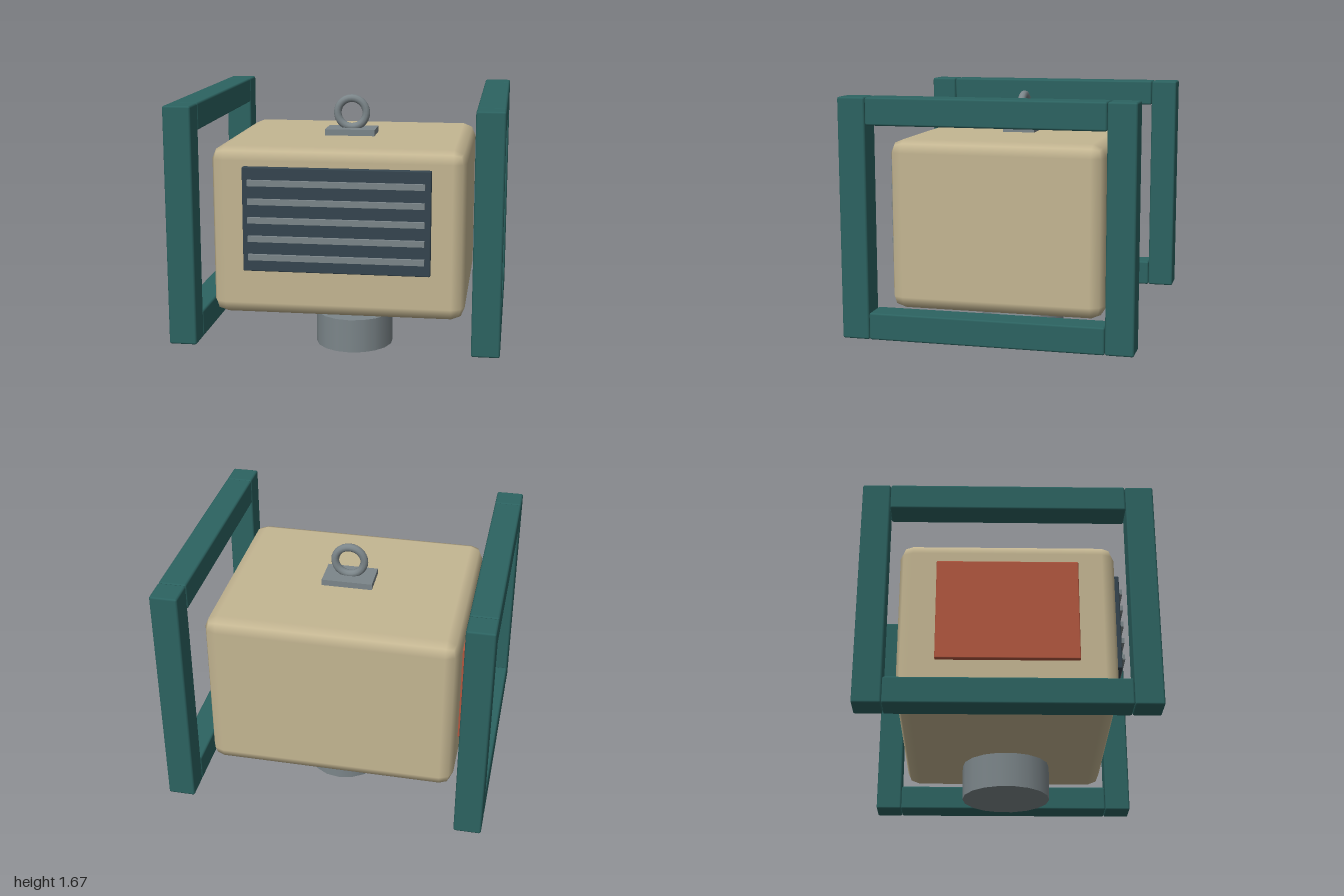
import * as THREE from 'three';
import { RoundedBoxGeometry } from 'three/addons/geometries/RoundedBoxGeometry.js';

function material(name, color) {
  const m = new THREE.MeshStandardMaterial({ color });
  m.name = name;
  return m;
}

export function createModel() {
  const sand = material('sand', 0xc4b692);
  const teal = material('teal', 0x2c6361);
  const slate = material('slate', 0x35454f);
  const steel = material('steel', 0x7c868a);
  const rust = material('rust', 0xb2573f);
  const model = new THREE.Group();
  model.name = 'machineUnit';

  const add = (name, geometry, mat, parent = model) => {
    const mesh = new THREE.Mesh(geometry, mat);
    mesh.name = name;
    parent.add(mesh);
    return mesh;
  };
  // Box given by its lower and upper corners, with an optional rounded edge
  const block = (name, a, b, mat, radius = 0, parent = model) => {
    const size = a.map((v, i) => b[i] - v);
    const geometry = radius
      ? new RoundedBoxGeometry(...size, 1, radius)
      : new THREE.BoxGeometry(...size);
    const mesh = add(name, geometry, mat, parent);
    mesh.position.set(...a.map((v, i) => (v + b[i]) / 2));
    return mesh;
  };

  // Housing
  block('housing', [-0.78, 0.348, -0.662], [0.775, 1.396, 0.662], sand, 0.08);

  // Side frames: two posts joined by a lower and an upper rail
  for (const [side, x] of [['left', 0.914], ['right', -0.914]]) {
    const frame = new THREE.Group();
    frame.name = side + 'Frame';
    frame.position.x = x;
    model.add(frame);
    for (const [end, z] of [['front', 0.801], ['back', -0.801]]) {
      block(end + 'Post', [-0.085, 0.213, z - 0.085], [0.085, 1.668, z + 0.085], teal, 0.012, frame);
    }
    for (const [level, y] of [['lower', 0.213], ['upper', 1.503]]) {
      block(level + 'Rail', [-0.085, y, -0.715], [0.085, y + 0.165, 0.715], teal, 0.012, frame);
    }
  }

  // Front grille with five slats
  block('grillePlate', [-0.572, 0.642, 0.663], [0.57, 1.284, 0.706], slate, 0.006);
  for (let i = 0; i < 5; i++) {
    const y = 0.733 + i * 0.1145;
    block('grilleSlat', [-0.537, y - 0.018, 0.69], [0.534, y + 0.018, 0.728], steel);
  }

  // Access panel on the right side
  block('accessPanel', [-0.81, 0.588, -0.433], [-0.775, 1.246, 0.433], rust, 0.006);

  // Lifting eye on top
  block('liftingPlate', [-0.161, 1.39, -0.103], [0.159, 1.435, 0.103], steel);
  const ring = add('liftingRing', new THREE.TorusGeometry(0.093, 0.025, 10, 28), steel);
  ring.position.set(0, 1.533, 0);

  // Slightly oval foot below the housing
  const foot = add('foot', new THREE.CylinderGeometry(1, 1, 0.218, 18), steel);
  foot.scale.set(0.253, 1, 0.274);
  foot.position.set(0.02, 0.109, 0.003);

  return model;
}
